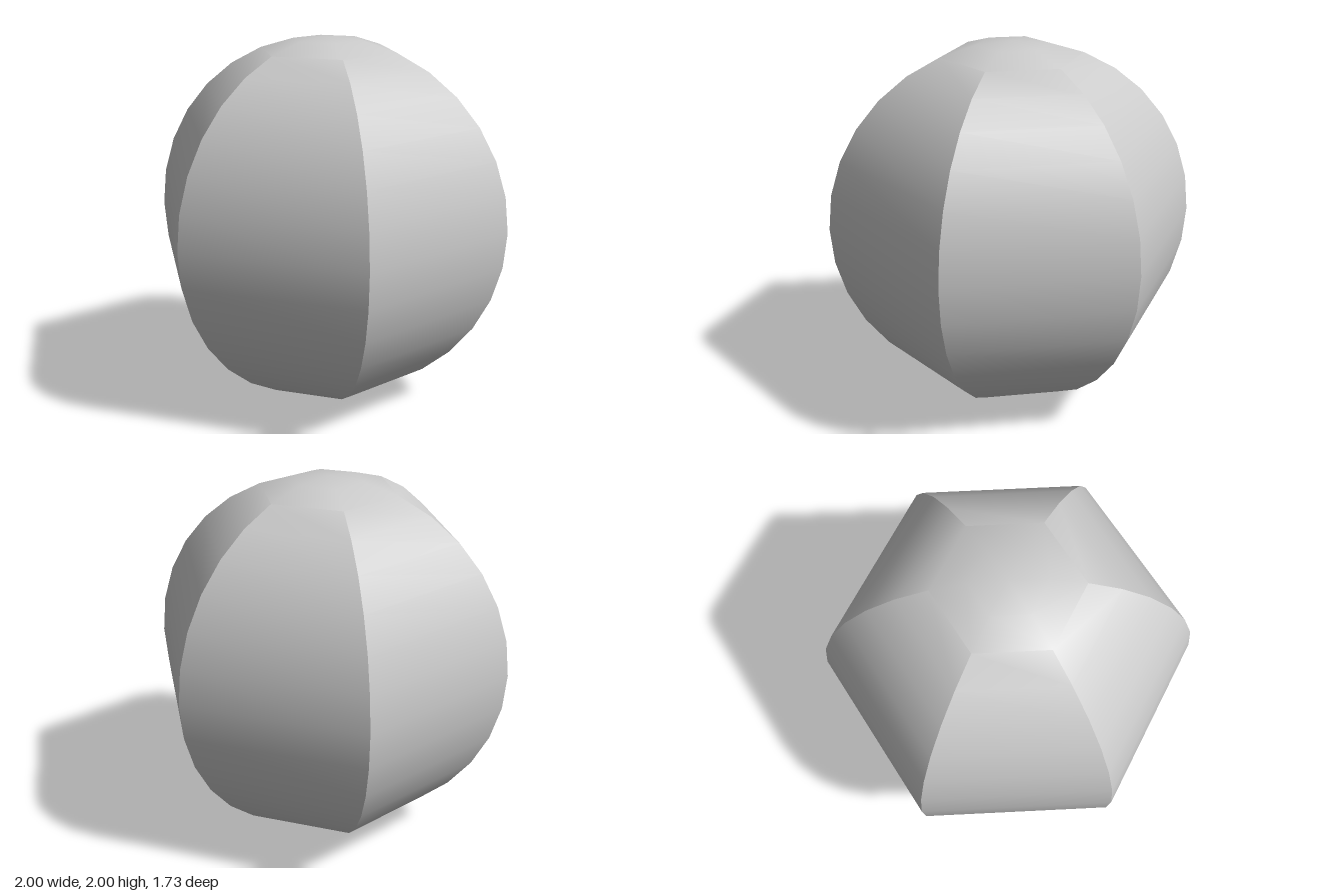
import * as THREE from 'three';
import { toCreasedNormals } from 'three/addons/utils/BufferGeometryUtils.js';

export function createModel() {
  const model = new THREE.Group();
  model.name = 'sixSidedBall';

  // Six curved gores meeting at the poles: smooth up each gore, sharp between them
  const gores = toCreasedNormals(new THREE.SphereGeometry(1, 6, 16), THREE.MathUtils.degToRad(30));
  const ball = new THREE.Mesh(gores, new THREE.MeshStandardMaterial({ color: 0xcccccc }));
  ball.name = 'ball';
  ball.position.y = 1;
  model.add(ball);

  return model;
}
